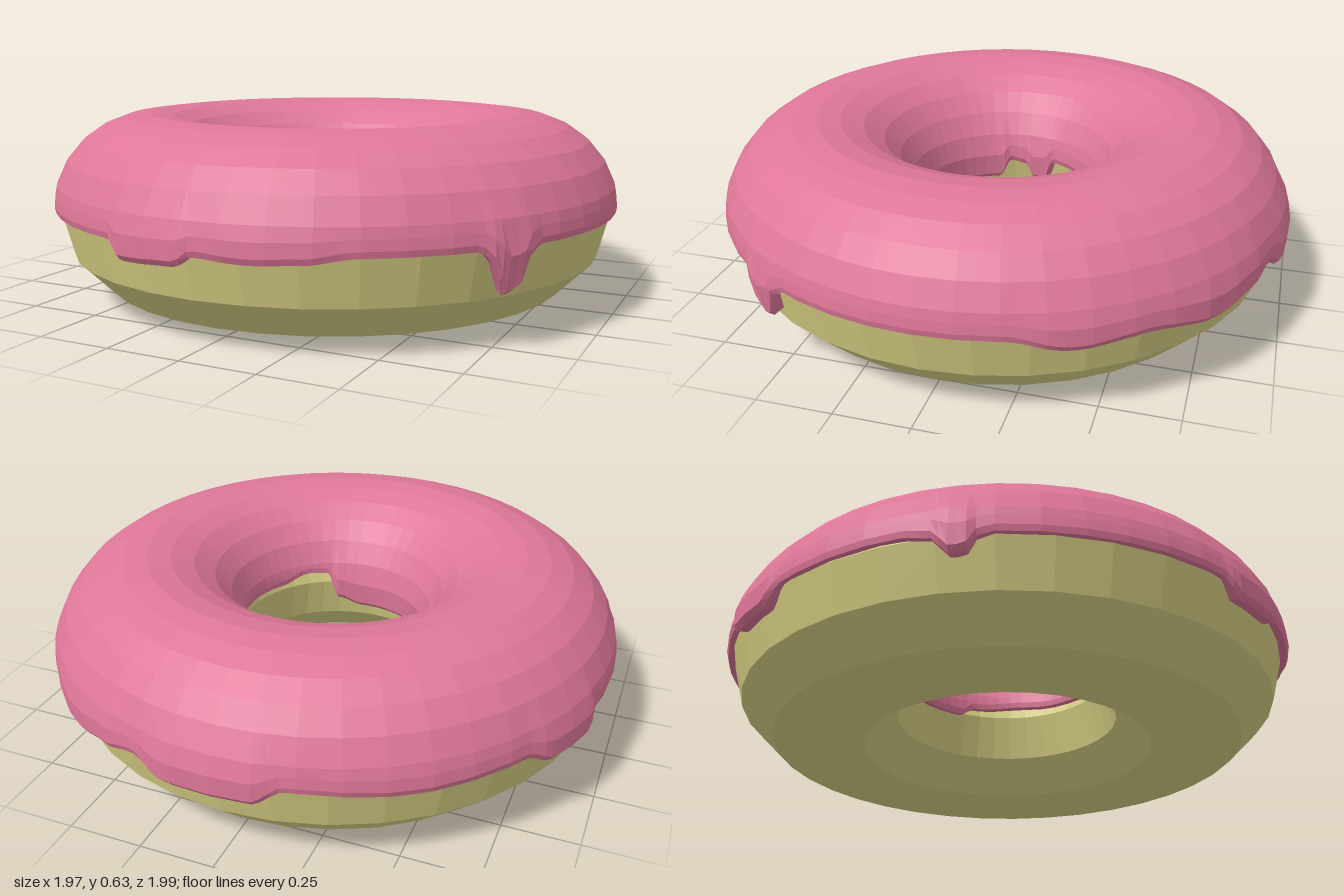
import * as THREE from 'three';

const RING = 0.655, TUBE = 0.31, CENTRE = 0.31;
const PANELS = 48, SUB = 5, STEPS = PANELS * SUB;

// Height of the icing edge around the ring: [degrees from +x towards +z, y]
const OUTER_EDGE = [
  [0, 0.31], [27, 0.31], [30, 0.28], [32, 0.18], [35, 0.17], [37, 0.27], [40, 0.31],
  [60, 0.31], [70, 0.29], [78, 0.285], [88, 0.295], [91, 0.262], [103, 0.255], [107, 0.31],
  [150, 0.31], [153, 0.295], [155, 0.245], [158, 0.245], [160, 0.3], [166, 0.315],
  [192, 0.31], [197, 0.25], [207, 0.255], [214, 0.305], [235, 0.295], [257, 0.31],
  [263, 0.255], [280, 0.25], [286, 0.3], [295, 0.27], [304, 0.25], [320, 0.285],
  [333, 0.27], [345, 0.31], [360, 0.31],
];
const INNER_EDGE = [
  [0, 0.34], [30, 0.335], [50, 0.36], [62, 0.355], [70, 0.25], [85, 0.22], [160, 0.22],
  [168, 0.29], [178, 0.28], [184, 0.22], [192, 0.22], [199, 0.3], [240, 0.285],
  [295, 0.3], [305, 0.335], [335, 0.35], [360, 0.34],
];

// Smooth blend between neighbouring keys
function edgeHeight(keys, deg) {
  const k = Math.max(1, keys.findIndex((p) => p[0] >= deg));
  const [a, ya] = keys[k - 1], [b, yb] = keys[k];
  return THREE.MathUtils.lerp(ya, yb, THREE.MathUtils.smoothstep(deg, a, b));
}

// Cross-section of the icing as [angle round the tube, radius] from inner to outer lip
function icingSection(deg) {
  const side = (keys) => {
    const y = edgeHeight(keys, deg);
    const end = Math.asin((y - CENTRE) / 0.33);
    const bulge = THREE.MathUtils.clamp((CENTRE - y) * 0.25, 0, 0.014);
    const r = TUBE + 0.02;
    const start = THREE.MathUtils.degToRad(15);
    const lip = end + 0.06;
    return [
      [start, r + bulge * 0.4],
      [(start + lip) / 2, r + bulge],
      [lip, r + bulge],
      [end, r - 0.005 + bulge * 0.5],
      [end, TUBE - 0.025],
    ];
  };
  const inner = side(INNER_EDGE).reverse().map(([a, r]) => [Math.PI - a, r]);
  const top = [];
  for (let d = 150; d >= 30; d -= 15) {
    const a = THREE.MathUtils.degToRad(d);
    top.push([a, TUBE + 0.006 + 0.014 * Math.cos(a) ** 2]);
  }
  return [...inner, ...top, ...side(OUTER_EDGE)];
}

function icingGeometry() {
  const positions = [], indices = [];
  let count = 0;
  for (let i = 0; i <= STEPS; i++) {
    const theta = (i % STEPS) / STEPS * Math.PI * 2;
    // keep the subdivided columns on flat panels
    const local = ((i % SUB) / SUB - 0.5) * (2 * Math.PI / PANELS);
    const flat = Math.cos(Math.PI / PANELS) / Math.cos(local);
    const section = icingSection(THREE.MathUtils.radToDeg(theta));
    count = section.length;
    for (const [a, r] of section) {
      const rho = (RING + r * Math.cos(a)) * flat;
      positions.push(rho * Math.cos(theta), CENTRE + r * Math.sin(a), rho * Math.sin(theta));
    }
  }
  for (let i = 0; i < STEPS; i++) {
    for (let j = 0; j < count - 1; j++) {
      const a = i * count + j, b = a + count;
      indices.push(a, b, a + 1, b, b + 1, a + 1);
    }
  }
  const geometry = new THREE.BufferGeometry();
  geometry.setAttribute('position', new THREE.Float32BufferAttribute(positions, 3));
  geometry.setIndex(indices);
  const faceted = geometry.toNonIndexed();
  faceted.computeVertexNormals();
  return faceted;
}

export function createModel() {
  const doughMaterial = new THREE.MeshStandardMaterial({ color: 0xd8d084, flatShading: true });
  doughMaterial.name = 'dough yellow';
  const icingMaterial = new THREE.MeshStandardMaterial({
    color: 0xdf7799, flatShading: true, side: THREE.DoubleSide,
  });
  icingMaterial.name = 'icing pink';

  // Ring of dough
  const doughGeometry = new THREE.TorusGeometry(RING, TUBE, 12, 36);
  doughGeometry.rotateX(-Math.PI / 2);
  const dough = new THREE.Mesh(doughGeometry, doughMaterial);
  dough.name = 'dough';
  dough.position.y = CENTRE;

  // Icing with drips on both edges
  const icing = new THREE.Mesh(icingGeometry(), icingMaterial);
  icing.name = 'icing';

  const model = new THREE.Group();
  model.name = 'doughnut';
  model.add(dough, icing);
  return model;
}
